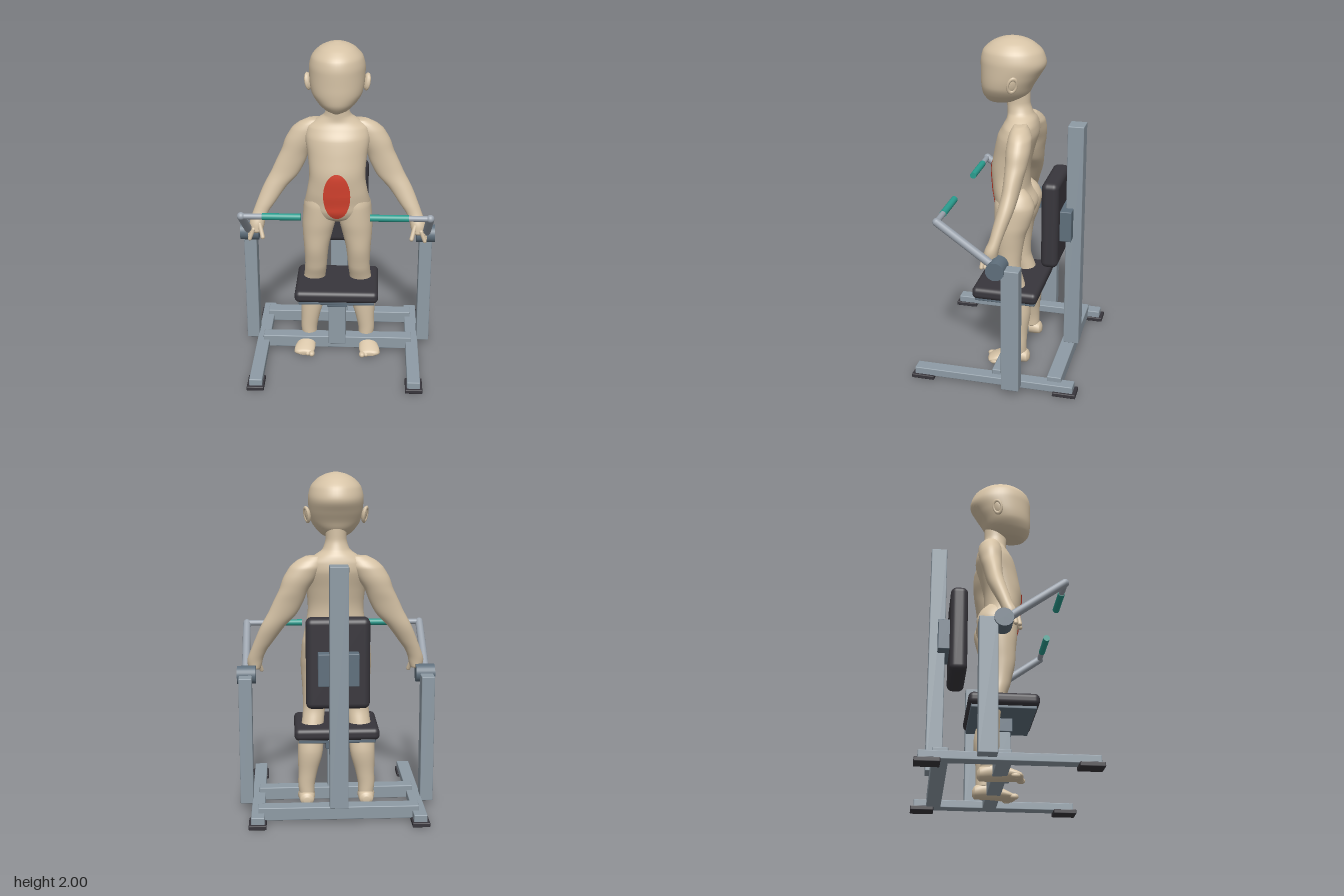
import * as THREE from 'three';
import { RoundedBoxGeometry } from 'three/addons/geometries/RoundedBoxGeometry.js';

const mat = (name, color) => Object.assign(new THREE.MeshStandardMaterial({ color }), { name });
const V = (x, y, z) => new THREE.Vector3(x, y, z);

// Smooth (monotone) interpolation of sections [y, cx, cz, rx, rz] at height y
function sample(rows, y) {
  let i = 0;
  while (i < rows.length - 2 && y > rows[i + 1][0]) i++;
  const a = rows[i], b = rows[i + 1], h = b[0] - a[0], t = (y - a[0]) / h;
  const slope = (k, c) => (rows[k + 1][c] - rows[k][c]) / (rows[k + 1][0] - rows[k][0]);
  const tangent = (k, c) => {
    if (k === 0) return slope(0, c);
    if (k === rows.length - 1) return slope(k - 1, c);
    const p = slope(k - 1, c), q = slope(k, c);
    return p * q <= 0 ? 0 : 2 * p * q / (p + q);
  };
  return [1, 2, 3, 4].map(c =>
    (1 + 2 * t) * (1 - t) ** 2 * a[c] + t * (1 - t) ** 2 * h * tangent(i, c) +
    t * t * (3 - 2 * t) * b[c] + t * t * (t - 1) * h * tangent(i + 1, c));
}

// Closed smooth body of elliptical sections, listed from low y to high y
function loft(rows, seg = 36, steps = 5) {
  const ys = [];
  rows.forEach((r, i) => {
    if (i) for (let k = 1; k <= steps; k++) ys.push(rows[i - 1][0] + (r[0] - rows[i - 1][0]) * k / steps);
    else ys.push(r[0]);
  });
  const rings = ys.map(y => [y, ...sample(rows, y)]);
  const first = rings[0], last = rings[rings.length - 1];
  rings.unshift([first[0], first[1], first[2], 0, 0]);
  rings.push([last[0], last[1], last[2], 0, 0]);
  const pos = [], index = [];
  rings.forEach(([y, cx, cz, rx, rz], i) => {
    for (let j = 0; j < seg; j++) {
      const a = j / seg * Math.PI * 2;
      pos.push(cx + rx * Math.cos(a), y, cz + rz * Math.sin(a));
      if (i === rings.length - 1) continue;
      const p = i * seg + j, q = i * seg + (j + 1) % seg;
      index.push(p, p + seg, q, q, p + seg, q + seg);
    }
  });
  const g = new THREE.BufferGeometry();
  g.setAttribute('position', new THREE.Float32BufferAttribute(pos, 3));
  g.setIndex(index);
  g.computeVertexNormals();
  return g;
}

const TORSO = [
  [0.9, 0, -0.03, 0.09, 0.05], [0.94, 0, -0.025, 0.165, 0.105], [1.0, 0, -0.025, 0.198, 0.125],
  [1.1, 0, 0.005, 0.18, 0.108], [1.2, 0, 0.01, 0.166, 0.112], [1.32, 0, -0.01, 0.175, 0.115],
  [1.42, 0, -0.035, 0.19, 0.118], [1.48, 0, -0.05, 0.18, 0.103], [1.52, 0, -0.055, 0.13, 0.088],
  [1.56, 0, -0.045, 0.078, 0.075], [1.62, 0, -0.035, 0.062, 0.068], [1.7, 0, -0.035, 0.065, 0.068]];
const HEAD = [
  [1.608, 0, 0.09, 0.025, 0.035], [1.625, 0, 0.06, 0.07, 0.09], [1.67, 0, 0.04, 0.118, 0.137],
  [1.72, 0, 0.03, 0.147, 0.153], [1.78, 0, 0.012, 0.158, 0.172], [1.85, 0, -0.005, 0.162, 0.19],
  [1.91, 0, -0.002, 0.15, 0.176], [1.96, 0, 0, 0.11, 0.128], [1.988, 0, 0, 0.06, 0.07], [2, 0, 0, 0.012, 0.015]];
const LEG = [
  [0.07, 0.18, -0.08, 0.046, 0.05], [0.12, 0.182, -0.08, 0.05, 0.05], [0.2, 0.174, -0.08, 0.057, 0.053],
  [0.33, 0.158, -0.085, 0.075, 0.062], [0.42, 0.153, -0.075, 0.077, 0.06], [0.52, 0.14, -0.045, 0.066, 0.06],
  [0.6, 0.132, -0.02, 0.067, 0.062], [0.72, 0.128, -0.01, 0.075, 0.078], [0.82, 0.12, -0.015, 0.09, 0.09],
  [0.9, 0.111, -0.025, 0.1, 0.108], [1.0, 0.105, -0.035, 0.098, 0.12], [1.06, 0.1, -0.03, 0.08, 0.105],
  [1.12, 0.09, -0.02, 0.04, 0.06]];
const ARM = [
  [0.83, 0.488, 0.012, 0.036, 0.04], [0.88, 0.485, 0.004, 0.046, 0.04], [0.94, 0.465, -0.015, 0.047, 0.036],
  [1.0, 0.433, -0.03, 0.056, 0.04], [1.1, 0.376, -0.055, 0.071, 0.047], [1.18, 0.318, -0.068, 0.086, 0.05],
  [1.25, 0.283, -0.075, 0.088, 0.055], [1.32, 0.252, -0.082, 0.085, 0.063], [1.4, 0.212, -0.085, 0.096, 0.07],
  [1.45, 0.182, -0.085, 0.096, 0.068], [1.49, 0.155, -0.08, 0.082, 0.055], [1.52, 0.13, -0.075, 0.05, 0.035]];
// Foot runs along z, its height is stored negated
const FOOT = [
  [-0.15, 0.18, -0.04, 0.018, 0.018], [-0.135, 0.18, -0.044, 0.042, 0.038], [-0.07, 0.182, -0.055, 0.052, 0.05],
  [0, 0.194, -0.045, 0.058, 0.04], [0.05, 0.203, -0.034, 0.064, 0.03], [0.085, 0.206, -0.026, 0.058, 0.021],
  [0.1, 0.206, -0.024, 0.03, 0.012]];

export function createModel() {
  const model = new THREE.Group();
  model.name = 'exerciseMachineWithMannequin';
  const skin = mat('mannequin beige', 0xd6c3a6), frame = mat('frame grey', 0x8e9ba5);
  const bracket = mat('bracket slate', 0x5f6f7c), tube = mat('tube grey', 0x9ba3ad);
  const pad = mat('upholstery black', 0x38363c), grip = mat('grip teal', 0x2a9d8f);
  const patch = mat('highlight red', 0xd8432f);

  const add = (name, geometry, material, parent = model) => {
    const m = new THREE.Mesh(geometry, material);
    m.name = name;
    parent.add(m);
    return m;
  };
  // Box given by its lower and upper limits on each axis
  const box = (name, [x0, x1], [y0, y1], [z0, z1], material, round = 0.005) => {
    const g = new RoundedBoxGeometry(x1 - x0, y1 - y0, z1 - z0, round > 0.01 ? 5 : 2, round);
    add(name, g, material).position.set((x0 + x1) / 2, (y0 + y1) / 2, (z0 + z1) / 2);
  };
  // Straight rod between two points, optionally with round ends
  const rod = (name, a, b, r, material, round = false, parent = model) => {
    const len = a.distanceTo(b);
    const g = round ? new THREE.CapsuleGeometry(r, len, 6, 16) : new THREE.CylinderGeometry(r, r, len, 28);
    const m = add(name, g, material, parent);
    m.position.copy(a).add(b).multiplyScalar(0.5);
    m.quaternion.setFromUnitVectors(V(0, 1, 0), b.clone().sub(a).normalize());
  };

  // Base, rear column and padding
  box('rearCrossbar', [-0.468, 0.468], [0.02, 0.097], [-0.405, -0.32], frame);
  box('middleCrossbar', [-0.468, 0.468], [0.02, 0.097], [-0.07, 0.012], frame);
  box('rearColumn', [-0.054, 0.054], [0.095, 1.505], [-0.43, -0.335], frame);
  box('backrestBracket', [-0.118, 0.118], [0.81, 1.0], [-0.38, -0.3], bracket);
  box('backrest', [-0.185, 0.185], [0.655, 1.19], [-0.312, -0.21], pad, 0.035);
  box('seatPost', [-0.053, 0.053], [0.065, 0.36], [-0.05, 0.05], frame);
  box('seatSleeve', [-0.063, 0.063], [0.335, 0.42], [-0.06, 0.06], bracket);
  box('seatPlate', [-0.23, 0.23], [0.414, 0.436], [-0.19, 0.18], bracket);
  box('seatCushion', [-0.253, 0.253], [0.43, 0.505], [-0.205, 0.197], pad, 0.03);

  for (const s of [1, -1]) {
    const side = s > 0 ? 'left' : 'right';
    const span = (a, b) => s > 0 ? [a, b] : [-b, -a];
    box(side + 'BaseRail', span(0.43, 0.508), [0.02, 0.067], [-0.48, 0.48], frame);
    box(side + 'RearFoot', span(0.42, 0.522), [0, 0.026], [-0.5, -0.362], pad);
    box(side + 'FrontFoot', span(0.42, 0.522), [0, 0.026], [0.36, 0.497], pad);
    box(side + 'Upright', span(0.502, 0.58), [0.038, 0.81], [-0.175, -0.07], frame);
    // Lever arm with inward handle
    const elbow = V(s * 0.541, 1.05, 0.305);
    rod(side + 'Pivot', V(s * 0.48, 0.803, -0.04), V(s * 0.592, 0.803, -0.04), 0.054, bracket);
    rod(side + 'Lever', V(s * 0.541, 0.803, -0.04), elbow, 0.024, tube, true);
    rod(side + 'HandleBar', elbow, V(s * 0.22, 1.05, 0.305), 0.017, tube);
    rod(side + 'Grip', V(s * 0.42, 1.05, 0.305), V(s * 0.198, 1.05, 0.305), 0.02, grip);
  }

  // Plain mannequin
  const figure = new THREE.Group();
  figure.name = 'mannequin';
  model.add(figure);
  add('torso', loft(TORSO, 48), skin, figure);
  add('head', loft(HEAD, 48), skin, figure);
  for (const s of [1, -1]) {
    const side = s > 0 ? 'left' : 'right';
    const flip = rows => rows.map(([y, cx, ...rest]) => [y, s * cx, ...rest]);
    add(side + 'Leg', loft(flip(LEG)), skin, figure);
    add(side + 'Arm', loft(flip(ARM)), skin, figure);
    add(side + 'Foot', loft(flip(FOOT)).rotateX(Math.PI / 2), skin, figure);
    // Toes from inner to outer
    for (let i = 0; i < 5; i++) {
      const toe = add(side + 'Toe', new THREE.SphereGeometry(1, 14, 10), skin, figure);
      toe.scale.set(0.019 - i * 0.0015, 0.018 - i * 0.001, 0.026);
      toe.position.set(s * (0.158 + i * 0.025), 0.02, 0.092 - i * 0.009);
    }
    // Fingers and thumb
    for (let i = 0; i < 4; i++) {
      const z = 0.045 - i * 0.02;
      rod(side + 'Finger', V(s * 0.505, 0.85, z), V(s * (0.528 + 0.003 * i), 0.792 + 0.006 * i, z * 1.15), 0.012, skin, true, figure);
    }
    rod(side + 'Thumb', V(s * 0.468, 0.88, 0.03), V(s * 0.448, 0.808, 0.062), 0.013, skin, true, figure);
    // Ear: flattened shell with raised rim
    const ear = new THREE.Group();
    ear.name = side + 'Ear';
    figure.add(ear);
    ear.position.set(s * 0.165, 1.757, -0.035);
    ear.rotation.set(-0.15, s * 0.45, -s * 0.15);
    add('earShell', new THREE.SphereGeometry(1, 20, 14), skin, ear).scale.set(0.014, 0.047, 0.03);
    const rim = add('earRim', new THREE.TorusGeometry(0.03, 0.009, 10, 24).rotateY(Math.PI / 2), skin, ear);
    rim.scale.set(1, 1.35, 0.85);
    rim.position.x = s * 0.006;
  }

  // Highlighted oval on the belly, following the torso surface
  const oval = new THREE.RingGeometry(0.0005, 1, 48, 12);
  const p = oval.attributes.position;
  for (let i = 0; i < p.count; i++) {
    const x = p.getX(i) * 0.08, y = 1.093 + p.getY(i) * 0.148;
    const surface = (rows, cx) => {
      const [c, cz, rx, rz] = sample(rows, y);
      return cz + rz * Math.sqrt(Math.max(0, 1 - ((cx - c) / rx) ** 2));
    };
    const z = Math.max(surface(TORSO, x), y < 1.12 ? surface(LEG, Math.abs(x)) : -1);
    p.setXYZ(i, x, y, z + 0.005);
  }
  oval.computeVertexNormals();
  patch.side = THREE.DoubleSide;
  add('bellyHighlight', oval, patch, figure);

  return model;
}
